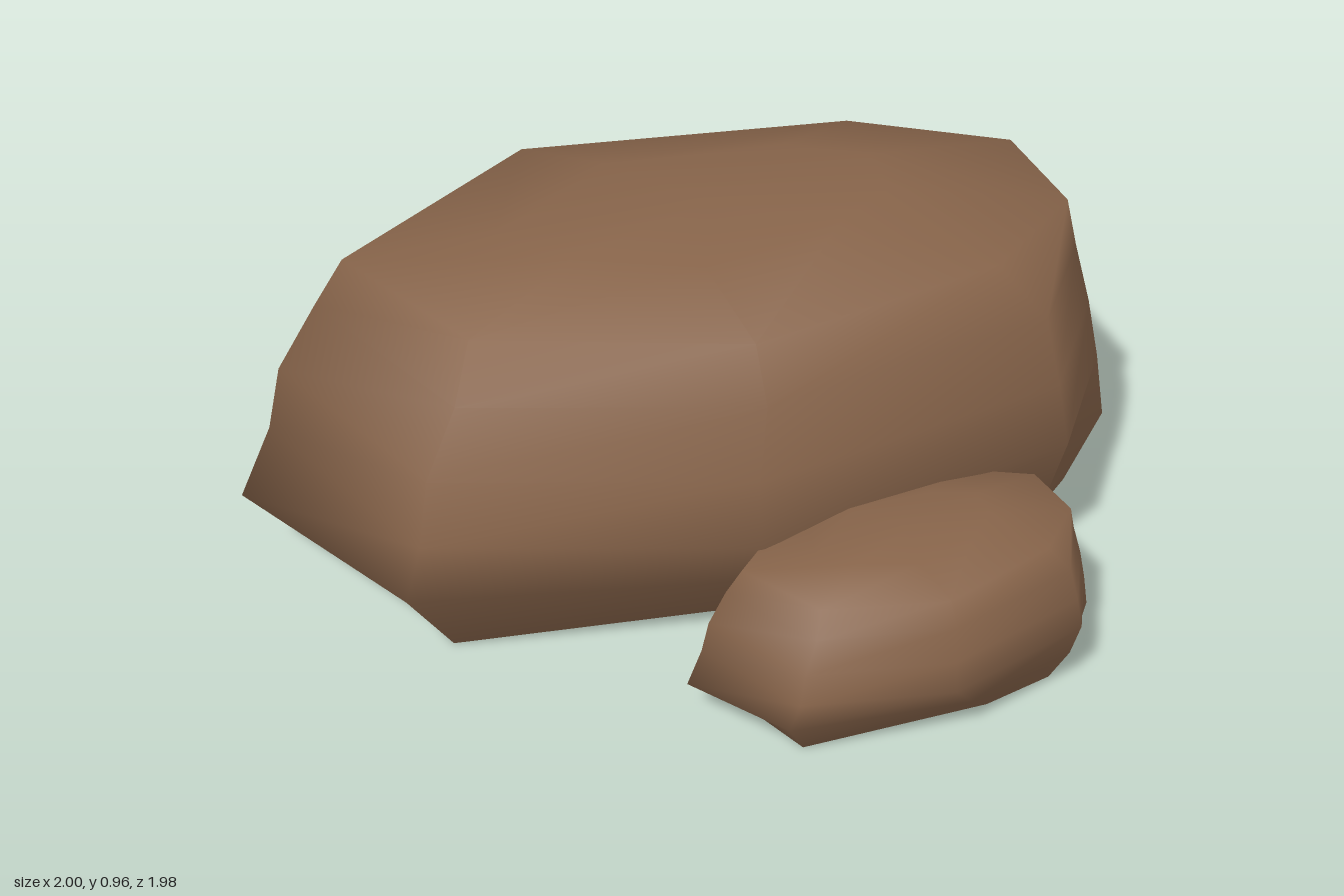
import * as THREE from 'three';

// Rings of the boulder from the ground up, eight corners each.
// Where it meets the ground, [x, z]
const BASE = [[-0.81, 0.67], [-0.35, 0.845], [0.37, 0.1], [0.58, -0.26],
  [0.55, -0.64], [0.35, -0.875], [-0.16, -0.71], [-0.84, -0.07]];
// Low flare, [x, y, z]
const FLARE = [[-1, 0.22, 0.89], [-0.36, 0.215, 0.985], [0.38, 0.215, 0.35], [0.69, 0.215, -0.25],
  [0.62, 0.215, -0.7], [0.39, 0.215, -0.94], [-0.2, 0.215, -0.78], [-0.89, 0.1, -0.06]];
// Waist, [x, z]
const WAIST = [[-0.955, 0.81], [-0.3, 0.985], [0.36, 0.53], [0.74, -0.26],
  [0.6, -0.68], [0.26, -0.99], [-0.21, -0.82], [-0.96, -0.04]];
// Rounded shoulder and nearly flat crown, [x, y, z]
const SHOULDER = [[-0.8, 0.86, 0.65], [-0.3, 0.86, 0.765], [0.26, 0.865, 0.41], [0.54, 0.87, -0.22],
  [0.52, 0.875, -0.6], [0.23, 0.87, -0.82], [-0.19, 0.87, -0.67], [-0.81, 0.865, -0.05]];
const CROWN = [[-0.47, 0.945, 0.46], [-0.25, 0.94, 0.44], [0.03, 0.94, 0.29], [0.19, 0.955, -0.06],
  [0.2, 0.96, -0.26], [0.06, 0.96, -0.385], [-0.16, 0.955, -0.31], [-0.47, 0.95, 0.02]];
const MID_X = -0.13;

// Waist outline drawn in about its middle at a given height
const waistRing = (y, scale, dz) =>
  WAIST.map(([x, z]) => [MID_X + (x - MID_X) * scale, y, z * scale + dz]);

function boulderGeometry() {
  const rings = [
    BASE.map(([x, z]) => [x, 0.005, z]),
    FLARE,
    waistRing(0.4, 1, 0),
    waistRing(0.57, 0.965, 0),
    waistRing(0.725, 0.9, -0.04),
    SHOULDER,
    CROWN,
  ];
  const n = WAIST.length;
  const positions = rings.flat(2);
  const index = [];

  // Walls between neighbouring rings
  for (let r = 0; r < rings.length - 1; r++) {
    for (let i = 0; i < n; i++) {
      const j = (i + 1) % n;
      const a = r * n + i, b = r * n + j, c = a + n, d = b + n;
      index.push(a, b, d, a, d, c);
    }
  }

  // Top of the crown; the underside stays open
  const top = rings.length * n;
  positions.push(MID_X, 0.952, 0.04);
  for (let i = 0; i < n; i++) index.push(top - n + i, top - n + (i + 1) % n, top);

  const geometry = new THREE.BufferGeometry();
  geometry.setAttribute('position', new THREE.Float32BufferAttribute(positions, 3));
  geometry.setIndex(index);
  geometry.computeVertexNormals();
  return geometry;
}

export function createModel() {
  const model = new THREE.Group();
  model.name = 'rocks';
  const stone = new THREE.MeshStandardMaterial({ color: 0x87644a, side: THREE.DoubleSide });
  stone.name = 'brown stone';
  const geometry = boulderGeometry();

  const large = new THREE.Mesh(geometry, stone);
  large.name = 'largeBoulder';

  // The small boulder is a shrunken, slightly turned copy leaning on the large one
  const small = new THREE.Mesh(geometry, stone);
  small.name = 'smallBoulder';
  small.scale.setScalar(0.453);
  small.rotation.y = 0.14;
  small.position.set(0.68, 0, 0.275);

  model.add(large, small);
  return model;
}
